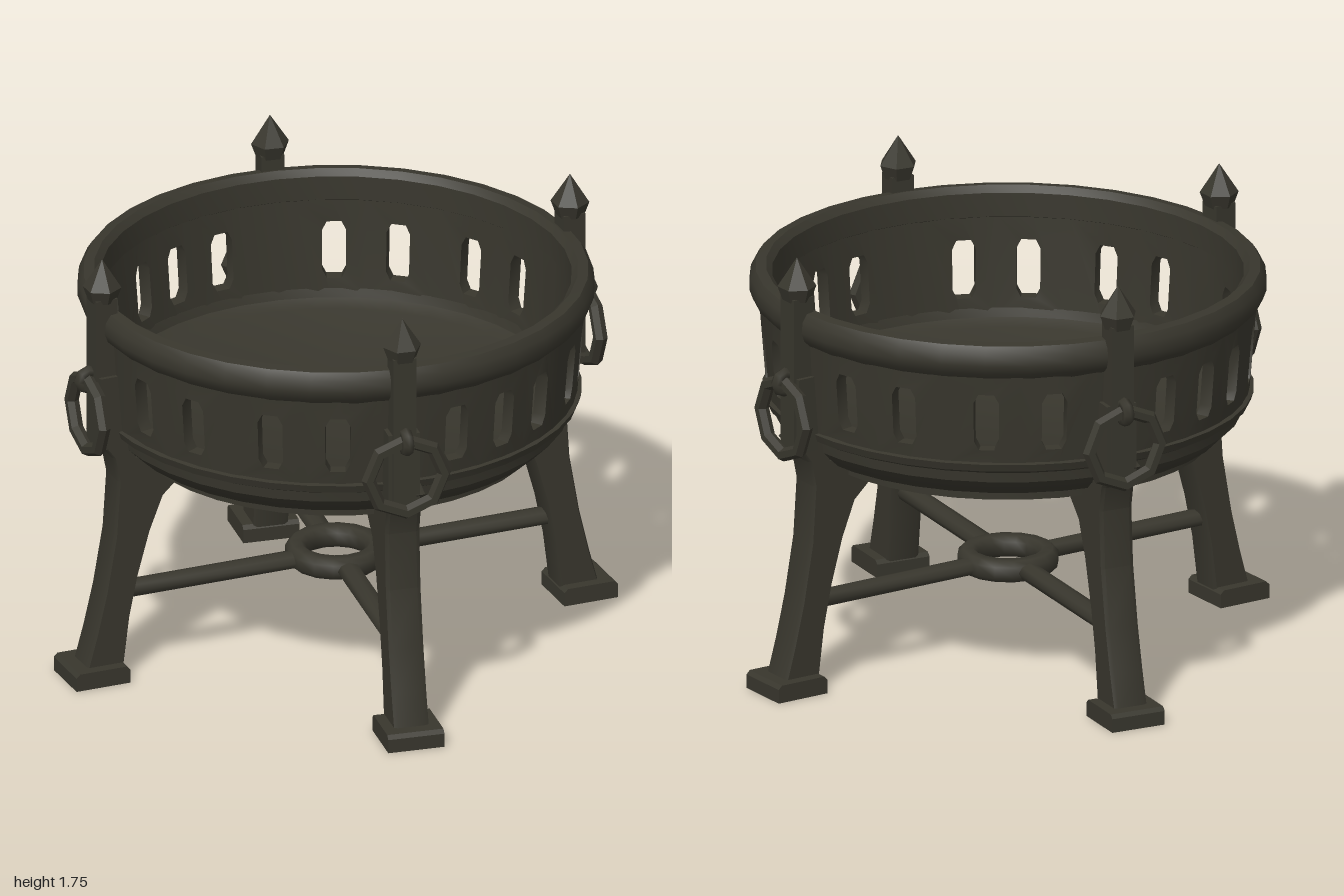
import * as THREE from 'three';
import { mergeGeometries, toCreasedNormals } from 'three/addons/utils/BufferGeometryUtils.js';

const DEG = Math.PI / 180;
const iron = new THREE.MeshStandardMaterial({ color: 0x38362d });
iron.name = 'dark iron';

function add(parent, name, geometry, x = 0, y = 0, z = 0) {
  const mesh = new THREE.Mesh(geometry, iron);
  mesh.name = name;
  mesh.position.set(x, y, z);
  parent.add(mesh);
  return mesh;
}

// Group whose +x axis points outwards at an angle measured from the front
function spoke(parent, name, angle) {
  const group = new THREE.Group();
  group.name = name;
  group.rotation.y = (angle - 90) * DEG;
  parent.add(group);
  return group;
}

const vectors = (pts) => pts.map(([x, y]) => new THREE.Vector2(x, y));

function lathe(pts, segments, crease = 0.6) {
  return toCreasedNormals(new THREE.LatheGeometry(vectors(pts), segments), crease);
}

// One wall panel from angle a0 to a1, with an optional chamfered window at angle w
function wallPanel(a0, a1, w) {
  const bottom = 1.035, top = 1.43;
  const am = (a0 + a1) / 2;
  const shape = new THREE.Shape(vectors([
    [a0, bottom], [am, bottom], [a1, bottom], [a1, top], [am, top], [a0, top],
  ].map(([a, y]) => [a * DEG, y])));
  if (w !== undefined) {
    const h = 0.052, c = 0.032;
    shape.holes.push(new THREE.Path(vectors([
      [-h, 1.135], [-h, 1.295], [-c, 1.33], [c, 1.33],
      [h, 1.295], [h, 1.135], [c, 1.1], [-c, 1.1],
    ].map(([u, y]) => [w * DEG + u, y]))));
  }
  const geo = new THREE.ExtrudeGeometry(shape, { depth: 0.053, bevelEnabled: false });
  // Bend the flat panel round the bowl and flare it outwards
  const p = geo.attributes.position;
  for (let i = 0; i < p.count; i++) {
    const a = p.getX(i), y = p.getY(i);
    const r = 0.874 + (y - 1.04) * 0.08 + p.getZ(i);
    p.setXYZ(i, Math.sin(a) * r, y, Math.cos(a) * r);
  }
  return geo;
}

function windowWall() {
  const panels = [];
  for (const base of [0, 180]) {
    for (const s of [-1, 1]) {
      const panel = (a0, a1, w) => panels.push(wallPanel(
        base + Math.min(s * a0, s * a1), base + Math.max(s * a0, s * a1),
        w === undefined ? undefined : base + s * w));
      panel(0, 18, 10);
      panel(18, 36, 26);
      panel(36, 48);
      panel(48, 62, 55);
      panel(62, 75.5, 68.7);
      panel(75.5, 90, 81.7);
    }
  }
  return toCreasedNormals(mergeGeometries(panels), 0.5);
}

// Leg outline in radius and height, with a bracket under the bowl
function legGeometry() {
  const width = 0.138;
  const shape = new THREE.Shape(vectors([
    [0.91, 0.05], [1.07, 0.05], [1.03, 0.2], [0.99, 0.37], [0.95, 0.6], [0.935, 0.83],
    [0.955, 0.93], [1.02, 1.02], [0.91, 1.05], [0.86, 0.93], [0.76, 0.89], [0.665, 0.835],
    [0.675, 0.805], [0.745, 0.74], [0.8, 0.6], [0.85, 0.42], [0.885, 0.25],
  ]));
  const geo = new THREE.ExtrudeGeometry(shape, {
    depth: width - 0.03, bevelThickness: 0.015, bevelSize: 0.008, bevelOffset: -0.008, bevelSegments: 1,
  });
  geo.translate(0, 0, -(width - 0.03) / 2);
  return toCreasedNormals(geo, 0.5);
}

// Foot block with a chamfered top
function footGeometry() {
  const s = 0.112;
  const shape = new THREE.Shape(vectors([
    [-s, 0], [s, 0], [s, 0.055], [s - 0.015, 0.07], [-s + 0.015, 0.07], [-s, 0.055],
  ]));
  const geo = new THREE.ExtrudeGeometry(shape, { depth: 2 * s, bevelEnabled: false });
  return geo.translate(0, 0, -s);
}

export function createModel() {
  const model = new THREE.Group();
  model.name = 'fire pit';

  // Bowl: stepped base, pierced wall and thick rim
  const bowl = new THREE.Group();
  bowl.name = 'bowl';
  model.add(bowl);
  add(bowl, 'bowlBase', lathe([
    [0, 0.86], [0.74, 0.86], [0.75, 0.85], [0.785, 0.85], [0.785, 0.885], [0.835, 0.895],
    [0.9, 0.96], [0.905, 1.0], [0.935, 1.015], [0.945, 1.045], [0.876, 1.06],
    [0.865, 1.025], [0.82, 0.998], [0, 0.985],
  ], 36));
  add(bowl, 'windowWall', windowWall());
  add(bowl, 'rim', lathe([
    [0.945, 1.39], [0.982, 1.425], [0.995, 1.46], [0.99, 1.505], [0.97, 1.535],
    [0.93, 1.54], [0.906, 1.515], [0.902, 1.42], [0.945, 1.39],
  ], 36));

  const leg = legGeometry();
  const foot = footGeometry();
  const post = new THREE.BoxGeometry(0.09, 0.62, 0.092);
  const backPlate = new THREE.BoxGeometry(0.09, 0.3, 0.125);
  const finial = lathe([[0, 1.585], [0.055, 1.585], [0.075, 1.64], [0, 1.755]], 6, 0.3);
  const eyelet = new THREE.TorusGeometry(0.035, 0.024, 6, 8);
  const ring = toCreasedNormals(new THREE.TorusGeometry(0.15, 0.028, 6, 8), 0.5);
  const bar = toCreasedNormals(new THREE.CylinderGeometry(0.034, 0.034, 0.74, 8), 0.9);
  bar.rotateZ(Math.PI / 2).scale(1, 1, 1.35);

  for (const base of [0, 180]) {
    for (const s of [-1, 1]) {
      // Leg with its foot and brace
      const lower = spoke(model, 'legAssembly', base + s * 41.4);
      add(lower, 'leg', leg);
      add(lower, 'foot', foot, 1.017);
      add(lower, 'crossBar', bar, 0.54, 0.345);

      // Post with its finial and hanging ring
      const upper = spoke(model, 'postAssembly', base + s * 40.5);
      add(upper, 'post', post, 0.982, 1.29);
      add(upper, 'backPlate', backPlate, 0.97, 1.13);
      add(upper, 'finial', finial, 0.982);
      add(upper, 'eyelet', eyelet, 1.04, 1.26);
      add(upper, 'hangingRing', ring, 1.043, 1.117).rotation.y = Math.PI / 2;
    }
  }

  // Flat ring joining the four braces
  add(model, 'centreRing', lathe([
    [0.115, 0.325], [0.135, 0.305], [0.175, 0.305], [0.195, 0.325], [0.195, 0.37],
    [0.175, 0.39], [0.135, 0.39], [0.115, 0.37], [0.115, 0.325],
  ], 16, 0.9));

  return model;
}
